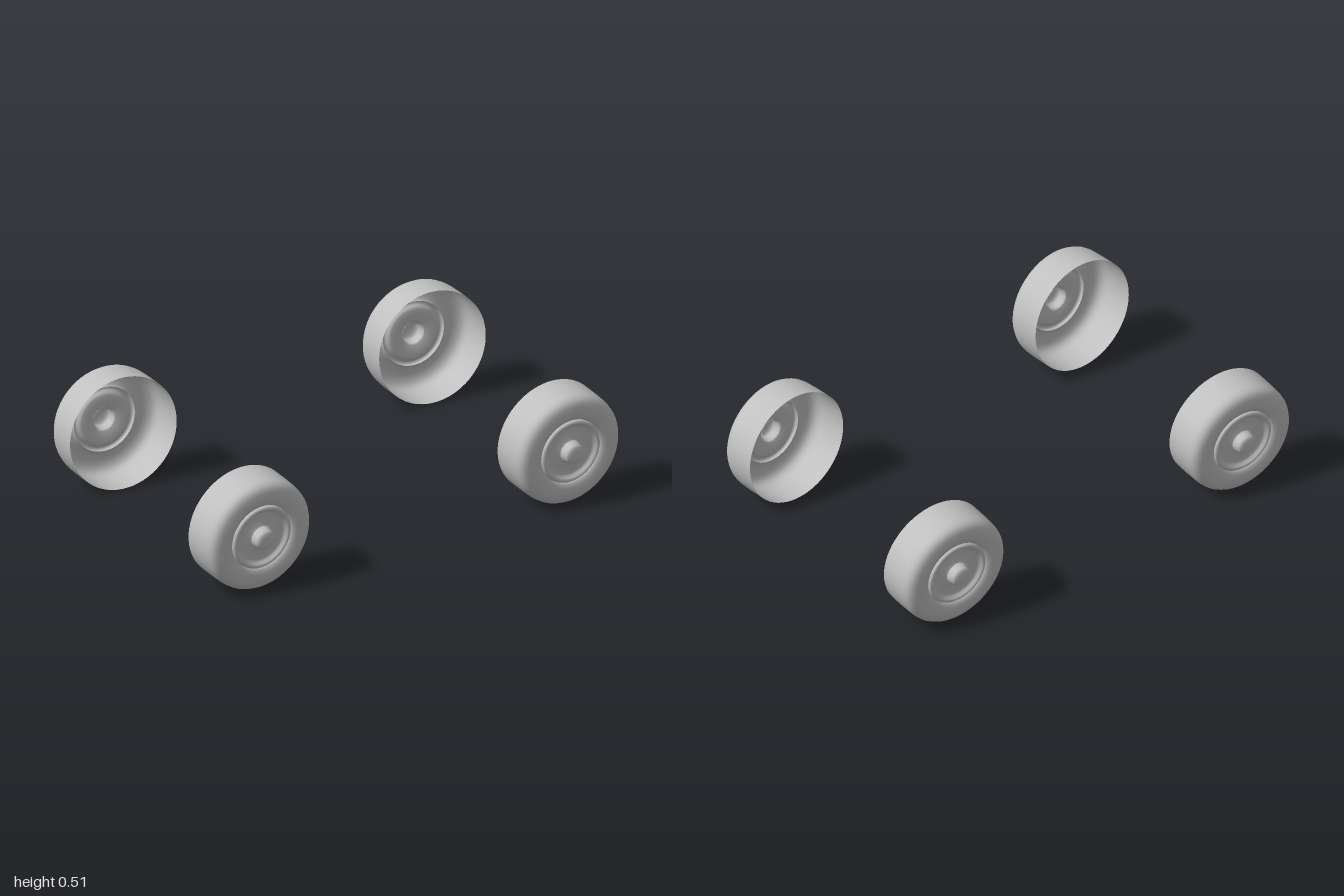
import * as THREE from 'three';

const grey = new THREE.MeshStandardMaterial({ color: 0xc0c0c0, side: THREE.DoubleSide });
grey.name = 'grey';

// Turns a profile of [radius, distance outward] around the axle
function turned(name, points) {
  const profile = points.map(([r, t]) => new THREE.Vector2(r, t));
  const mesh = new THREE.Mesh(new THREE.LatheGeometry(profile, 64), grey);
  mesh.name = name;
  return mesh;
}

function createWheel(name) {
  const wheel = new THREE.Group();
  wheel.name = name;
  // Open-backed tread with a rounded shoulder and sidewall
  wheel.add(turned('tyre', [
    [0.252, 0], [0.252, 0.07], [0.25, 0.13], [0.246, 0.15], [0.238, 0.164],
    [0.226, 0.173], [0.21, 0.178], [0.19, 0.181], [0.17, 0.179],
    [0.155, 0.174], [0.147, 0.168], [0.144, 0.162],
  ]));
  // Raised ring around a shallow dish
  wheel.add(turned('rim', [
    [0.144, 0.162], [0.142, 0.171], [0.137, 0.176], [0.13, 0.176],
    [0.124, 0.172], [0.118, 0.164], [0.108, 0.16], [0.085, 0.16],
    [0.06, 0.164], [0.05, 0.168],
  ]));
  // Domed hub cap
  wheel.add(turned('hubCap', [
    [0.052, 0.165], [0.048, 0.176], [0.045, 0.19], [0.042, 0.2],
    [0.035, 0.206], [0.02, 0.209], [0, 0.21],
  ]));
  return wheel;
}

export function createModel() {
  const model = new THREE.Group();
  model.name = 'wheelSet';
  const up = new THREE.Vector3(0, 1, 0);

  // Four wheels facing outward along z, each slightly tilted and turned
  for (const front of [1, -1]) {
    for (const side of [1, -1]) {
      const wheel = createWheel((front > 0 ? 'front' : 'back') + (side > 0 ? 'Left' : 'Right') + 'Wheel');
      const axle = new THREE.Vector3(0.04, -0.047, front).normalize();
      wheel.quaternion.setFromUnitVectors(up, axle);
      wheel.position.set(side * 0.748 - 0.002, 0.259, front * 0.461);
      model.add(wheel);
    }
  }
  return model;
}
